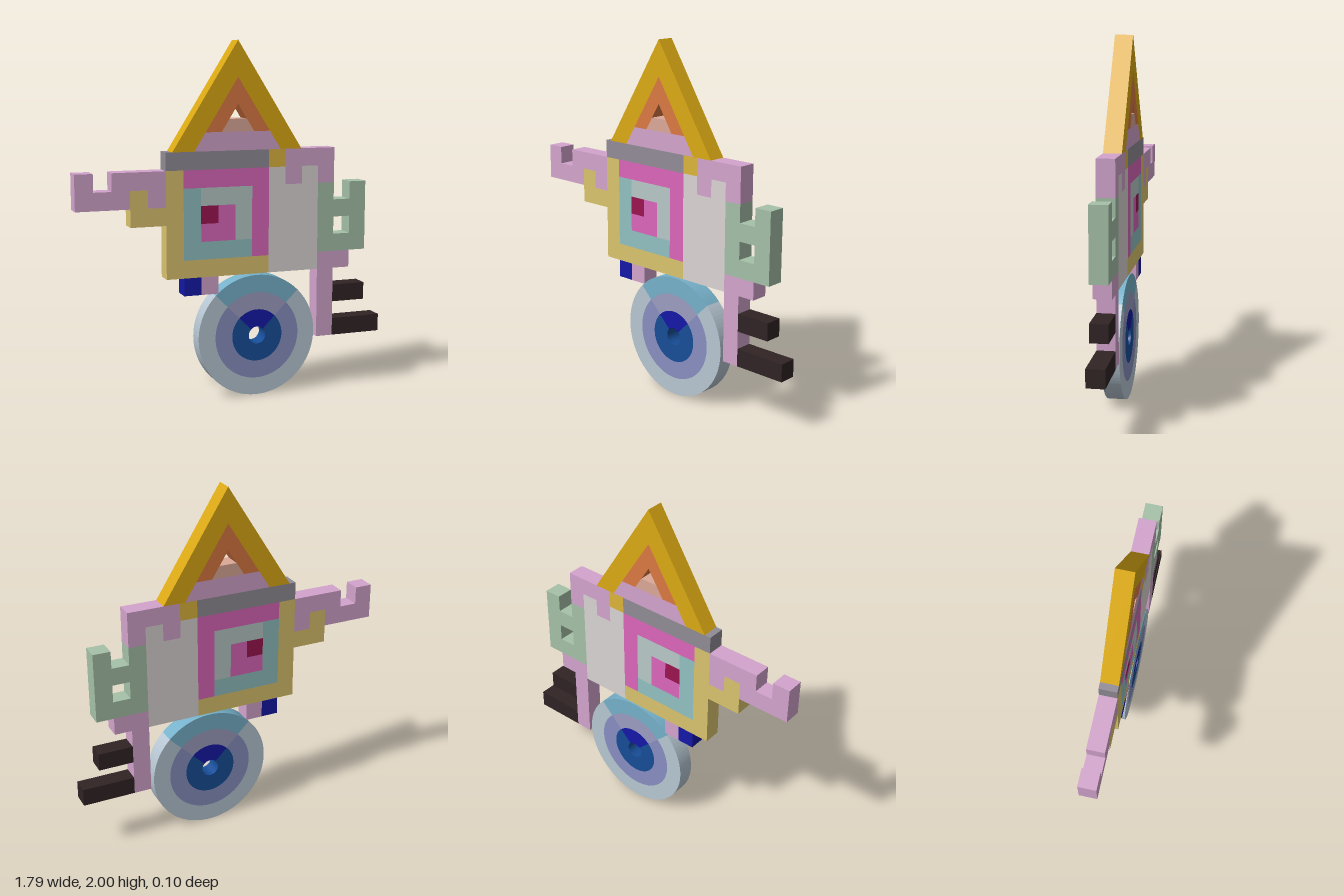
import * as THREE from 'three';

const CELL = 0.0995; // the figure is laid out on a square grid, one cell thick
const TOP = 1.402;   // height of grid row 14

const COLORS = {
  lilac: 0xd3a4cd, khaki: 0xdbc46e, grey: 0x918c96, gold: 0xdcb53c, stone: 0xdbd5d4,
  sage: 0xa5c1a8, pink: 0xdc66ba, teal: 0x92c1c2, mist: 0xb8c9c7, crimson: 0x9c1450,
  navy: 0x1418a6, black: 0x302324, amber: 0xdcaa14, orange: 0xdb7842, salmon: 0xdca898,
};

// Extrudes a flat shape to the common thickness, centred on z = 0
function slab(name, shape, color, curveSegments = 12) {
  const geo = new THREE.ExtrudeGeometry(shape, { depth: CELL, bevelEnabled: false, curveSegments });
  geo.translate(0, 0, -CELL / 2);
  const mesh = new THREE.Mesh(geo, new THREE.MeshStandardMaterial({ color }));
  mesh.name = name;
  return mesh;
}

const polygon = (pts) => new THREE.Shape(pts.map(([x, y]) => new THREE.Vector2(x, y)));
const gridShape = (pts) => polygon(pts.map(([c, r]) => [c * CELL, TOP + (r - 14) * CELL]));

// Block of w by h cells with its lower left corner at column c, row r
const block = (c, r, w = 1, h = 1) => gridShape([[c, r], [c + w, r], [c + w, r + h], [c, r + h]]);

// One-cell-wide L along the left and bottom of an n by n square, given quarter turns
function ell(c, r, n, turns = 0) {
  const centre = new THREE.Vector2(n / 2, n / 2);
  return gridShape([[0, 0], [n, 0], [n, 1], [1, 1], [1, n], [0, n]].map(([x, y]) => {
    const p = new THREE.Vector2(x, y).rotateAround(centre, turns * Math.PI / 2);
    return [c + p.x, r + p.y];
  }));
}

// Three-cell-wide arch: a turned L and a post
const arch = (c, r) => [ell(c, r, 2, 3), block(c + 2, r, 1, 2)];

// Ring segment around the wheel centre
function ringSector(inner, outer, a0, a1) {
  const s = new THREE.Shape();
  s.absarc(0, 0, outer, a0, a1, false);
  s.absarc(0, 0, inner, a1, a0, true);
  s.closePath();
  return s;
}

export function createModel() {
  const model = new THREE.Group();
  model.name = 'flatFigure';
  const add = (name, color, ...shapes) =>
    shapes.forEach((shape) => model.add(slab(name, shape, COLORS[color])));

  // body: L bands winding inwards, each square one cell smaller
  let c = -4, r = 7, size = 6;
  ['khaki', 'pink', 'teal', 'mist'].forEach((color, i) => {
    add('bodyBand' + (i + 1), color, ell(c, r, size, i % 2 * 2));
    if (i % 2 === 0) { c++; r++; }
    size--;
  });
  add('bodyCore', 'pink', ell(c, r, size, 1));
  add('coreEye', 'crimson', block(c, r + 1));
  add('collar', 'grey', block(-4, 13, 6));
  add('collarEnd', 'gold', block(2, 13));
  add('sidePanel', 'stone', block(2, 7, 3, 5), block(2, 12), block(4, 12));

  // right arm with upturned hand
  add('rightHand', 'lilac', ell(-9, 11, 2));
  add('rightArm', 'lilac', ...arch(-7, 11));
  add('rightSleeve', 'khaki', ell(-6, 10, 2));

  // left shoulder and looped arm
  add('leftShoulder', 'lilac', ...arch(3, 12));
  add('leftArm', 'sage', block(5, 8, 1, 4), block(7, 8, 1, 4), block(6, 8), block(6, 10));

  // legs and feet
  add('leftLeg', 'lilac', block(5, 3, 1, 5), block(6, 7));
  add('leftPegs', 'black', block(6, 5, 2), block(6, 3, 3));
  add('rightFoot', 'navy', block(-3, 6));
  add('rightAnkle', 'lilac', block(-2, 6));

  // pointed hat: chevron bands and fillings cut from nested triangles
  const hat = new THREE.Group();
  hat.name = 'hat';
  hat.position.x = 0.016;
  const half = (apex, y) => (apex - y) * 0.63;
  const chevron = (a, b, y) => polygon([
    [-half(a, y), y], [-half(b, y), y], [0, b], [half(b, y), y], [half(a, y), y], [0, a]]);
  const band = (a, y0, y1) => polygon([
    [-half(a, y0), y0], [half(a, y0), y0], [half(a, y1), y1], [-half(a, y1), y1]]);
  hat.add(
    slab('hatOuter', chevron(2.0, 1.802, TOP), COLORS.amber),
    slab('hatInner', chevron(1.802, 1.655, 1.505), COLORS.orange),
    slab('hatBrim', band(1.802, TOP, 1.505), COLORS.lilac),
    slab('hatFilling', band(1.655, 1.505, 1.575), COLORS.salmon),
  );
  model.add(hat);

  // wheel: three rings, each with a differently coloured top quarter
  const wheel = new THREE.Group();
  wheel.name = 'wheel';
  wheel.position.set(0.131, 3.5 * CELL, 0);
  const rings = [
    ['hub', 0x174d98, 0x1418a6],
    ['middleRing', 0x888fc1, 0x9c9cc1],
    ['tyre', 0xb7c7d3, 0x76b1ca],
  ];
  const A = Math.PI / 4;
  rings.forEach(([name, main, top], i) => {
    const inner = (i + 0.5) * CELL, outer = inner + CELL;
    wheel.add(
      slab(name, ringSector(inner, outer, 3 * A, 9 * A), main, 36),
      slab(name + 'Top', ringSector(inner, outer, A, 3 * A), top, 12),
    );
  });
  model.add(wheel);

  return model;
}
